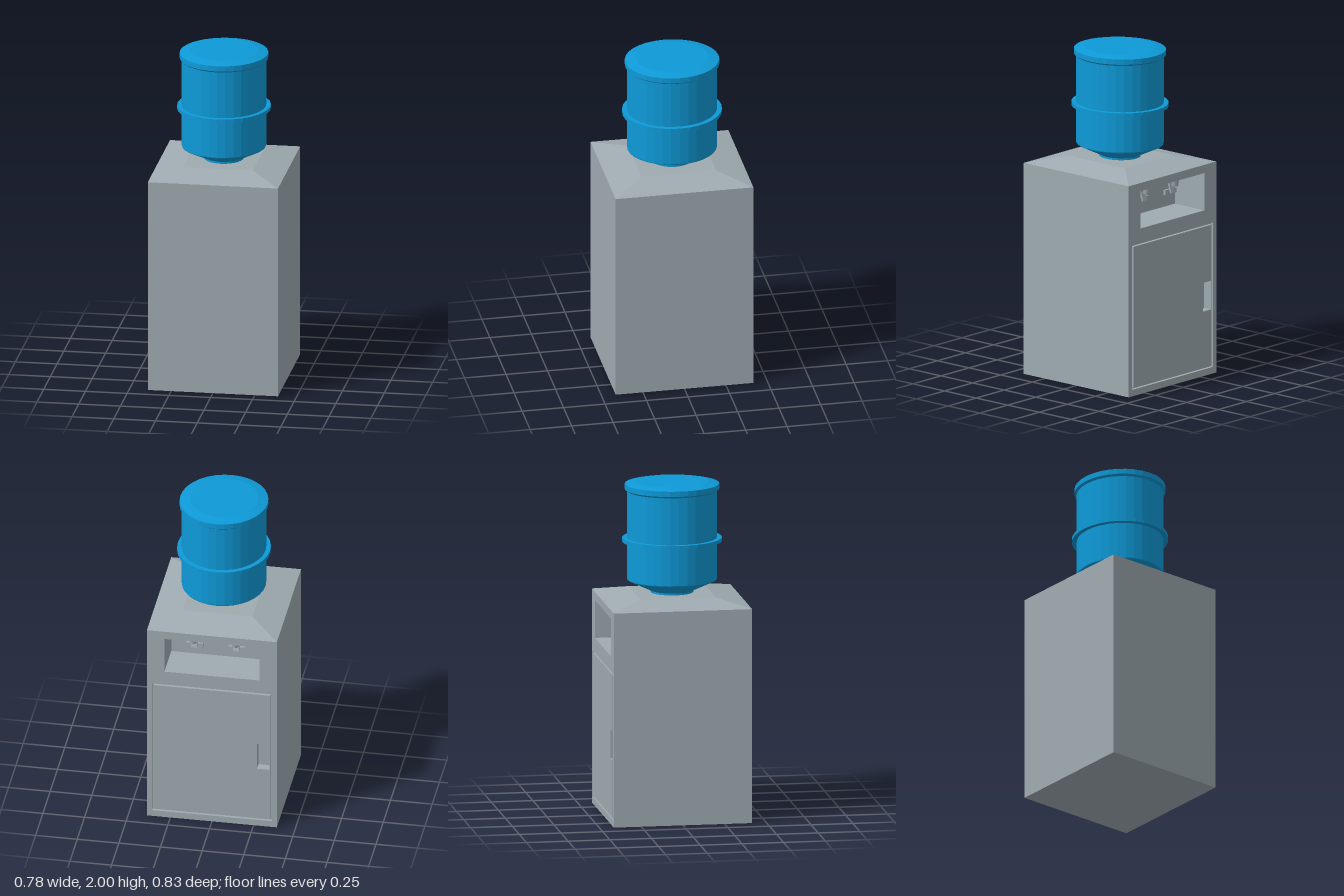
import * as THREE from 'three';

const W = 0.39, D = 0.415, H = 1.29;

function rect(Type, x0, x1, y0, y1) {
  const r = new Type();
  r.moveTo(x0, y0);
  r.lineTo(x1, y0);
  r.lineTo(x1, y1);
  r.lineTo(x0, y1);
  r.closePath();
  return r;
}

export function createModel() {
  const model = new THREE.Group();
  const grey = new THREE.MeshStandardMaterial({ color: 0x9fabb1 });
  grey.name = 'grey plastic';
  const blue = new THREE.MeshStandardMaterial({ color: 0x0e9ad8, flatShading: true });
  blue.name = 'blue bottle';

  function add(name, geometry, material, x = 0, y = 0, z = 0, parent = model) {
    const mesh = new THREE.Mesh(geometry, material);
    mesh.name = name;
    mesh.position.set(x, y, z);
    parent.add(mesh);
    return mesh;
  }

  // Openings in the service side, which faces -z
  const alcove = [-0.285, 0.285, 1.012, 1.24];
  const doorway = [-0.36, 0.36, 0.04, 0.923];
  const pocket = [-0.345, -0.27, 0.395, 0.57];

  function slab(name, outline, holes, z0, z1) {
    const shape = rect(THREE.Shape, ...outline);
    for (const hole of holes) shape.holes.push(rect(THREE.Path, ...hole));
    add(name, new THREE.ExtrudeGeometry(shape, { depth: z1 - z0, bevelEnabled: false }), grey, 0, 0, z0);
  }

  // Cabinet: solid rear block plus layers carrying the alcove, doorway and grip pocket
  const outline = [-W, W, 0, H];
  slab('cabinet', outline, [], -0.18, D);
  slab('alcoveSurround', outline, [alcove], -0.36, -0.18);
  slab('pocketSurround', outline, [alcove, pocket], -0.395, -0.36);
  slab('doorFrame', outline, [alcove, doorway], -D, -0.395);
  slab('door', [-0.349, 0.349, 0.051, 0.912], [pocket], -D, -0.395);

  // Sloped cabinet top: a box narrowed at its upper face
  const roof = new THREE.BoxGeometry(2 * W, 0.043, 2 * D).toNonIndexed();
  const p = roof.attributes.position;
  for (let i = 0; i < p.count; i++) {
    if (p.getY(i) > 0) {
      p.setX(i, Math.sign(p.getX(i)) * 0.21);
      p.setZ(i, Math.sign(p.getZ(i)) * 0.226);
    }
  }
  roof.computeVertexNormals();
  add('cabinetTop', roof, grey, 0, H + 0.0215, 0);

  // Two taps inside the alcove
  for (const side of [-1, 1]) {
    const tap = new THREE.Group();
    tap.name = side > 0 ? 'leftTap' : 'rightTap';
    tap.position.set(side * 0.126, 0, 0);
    model.add(tap);
    const pipe = new THREE.CylinderGeometry(0.016, 0.016, 0.14, 12);
    pipe.rotateX(Math.PI / 2);
    add('pipe', pipe, grey, 0, 1.2, -0.25, tap);
    add('spout', new THREE.CylinderGeometry(0.026, 0.02, 0.045, 12), grey, 0, 1.2, -0.322, tap);
    const lever = add('lever', new THREE.BoxGeometry(0.035, 0.07, 0.012), grey, 0, 1.165, -0.295, tap);
    lever.rotation.x = 0.3;
    add('paddle', new THREE.BoxGeometry(0.1, 0.03, 0.015), grey, 0, 1.138, -0.284, tap);
  }

  // Water bottle, slightly deeper than wide
  const profile = [
    [0, 1.325], [0.118, 1.325], [0.118, 1.345], [0.128, 1.35], [0.248, 1.41],
    [0.25, 1.415], [0.25, 1.64], [0.277, 1.64], [0.277, 1.662], [0.25, 1.662],
    [0.25, 1.945], [0.262, 1.955], [0.262, 1.987], [0.202, 2], [0, 2],
  ].map(([r, y]) => new THREE.Vector2(r, y));
  const bottle = add('bottle', new THREE.LatheGeometry(profile, 32), blue);
  bottle.scale.z = 1.07;

  return model;
}
